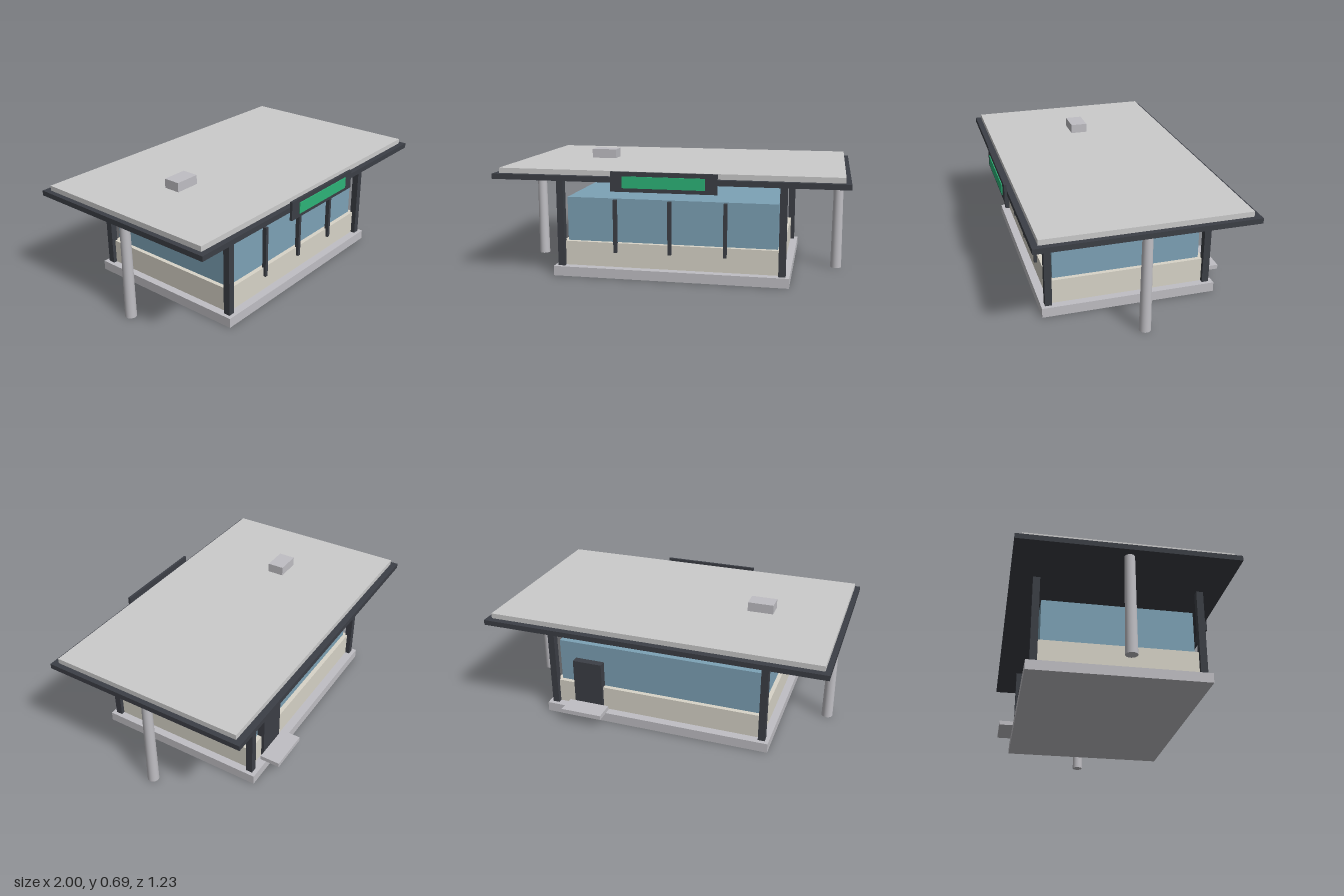
import * as THREE from 'three';

const material = (color) => new THREE.MeshStandardMaterial({ color });

export function createModel() {
  const group = new THREE.Group();
  const grey = material(0xcccccc);
  const concrete = material(0xc0bfc4);
  const dark = material(0x3c3f46);
  const beige = material(0xd8d4c8);
  const blue = material(0x7da2b6);
  const green = material(0x2db478);

  // Box given by its limits along x, y and z
  function box(name, mat, [x0, x1], [y0, y1], [z0, z1]) {
    const mesh = new THREE.Mesh(new THREE.BoxGeometry(x1 - x0, y1 - y0, z1 - z0), mat);
    mesh.position.set((x0 + x1) / 2, (y0 + y1) / 2, (z0 + z1) / 2);
    mesh.name = name;
    group.add(mesh);
  }

  // Plinth, low wall and glazed storey
  box('plinth', concrete, [-0.685, 0.685], [0, 0.057], [-0.516, 0.498]);
  box('lowWall', beige, [-0.64, 0.64], [0.057, 0.2], [-0.465, 0.449]);
  box('glazing', blue, [-0.615, 0.615], [0.2, 0.458], [-0.438, 0.422]);

  // Corner posts
  for (const x of [-0.643, 0.643]) {
    for (const z of [-0.472, 0.456]) {
      box('cornerPost', dark, [x - 0.02, x + 0.02], [0.057, 0.573], [z - 0.02, z + 0.02]);
    }
  }

  // Front window bars
  for (const x of [-0.32, 0, 0.32]) {
    box('windowBar', dark, [x - 0.01, x + 0.01], [0.146, 0.456], [0.44, 0.465]);
  }

  // Back door and its step
  box('backDoor', dark, [0.335, 0.515], [0.057, 0.357], [-0.482, -0.43]);
  box('doorStep', concrete, [0.3, 0.55], [0.06, 0.086], [-0.6, -0.482]);

  // Roof with raised deck and rooftop unit
  box('roofEdge', dark, [-1, 1], [0.58, 0.61], [-0.617, 0.597]);
  box('roofDeck', grey, [-0.97, 0.97], [0.61, 0.64], [-0.579, 0.563]);
  box('rooftopUnit', concrete, [-0.58, -0.428], [0.64, 0.695], [-0.059, 0.041]);

  // Blank sign on the front edge
  box('signBoard', dark, [-0.297, 0.297], [0.533, 0.644], [0.597, 0.612]);
  box('signPanel', green, [-0.23, 0.23], [0.555, 0.62], [0.606, 0.617]);

  // Tapered side columns under the overhang
  const columnGeometry = new THREE.CylinderGeometry(0.028, 0.033, 0.573, 24);
  for (const x of [-0.94, 0.94]) {
    const column = new THREE.Mesh(columnGeometry, concrete);
    column.position.set(x, 0.2865, -0.008);
    column.name = 'sideColumn';
    group.add(column);
  }

  return group;
}
